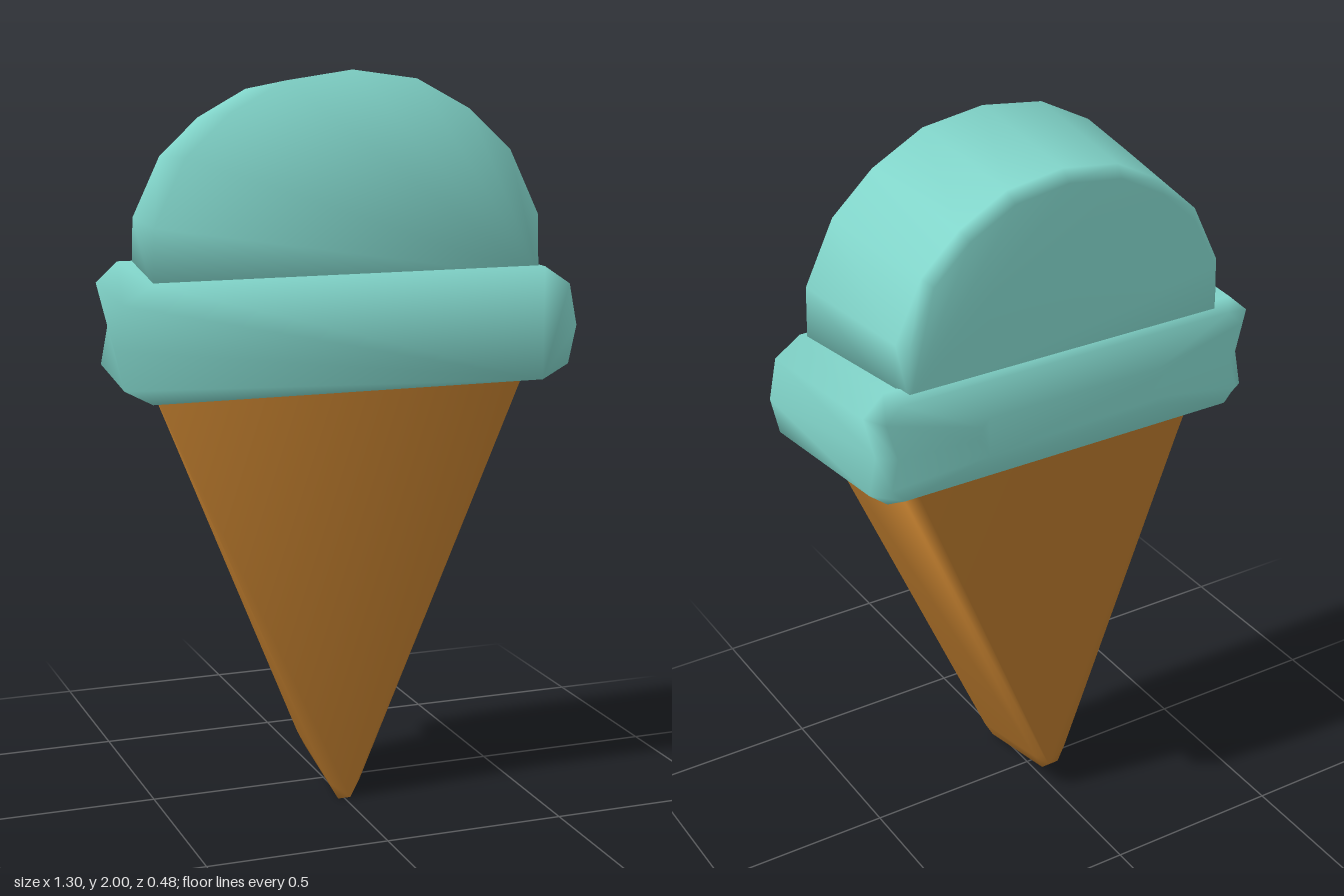
import * as THREE from 'three';

// Mirrors a right-hand half outline (bottom to top) into a closed loop.
function mirrorOutline(half) {
  const left = half.filter(([x]) => x > 0).reverse().map(([x, y]) => [-x, y]);
  return [...half, ...left];
}

// Joins loops running from front to back, with a cap on both ends and shared smooth normals.
function loft(name, rings, color) {
  const n = rings[0].length;
  const index = [];
  for (let r = 0; r < rings.length - 1; r++) {
    for (let j = 0; j < n; j++) {
      const k = (j + 1) % n;
      const a = r * n + j, b = r * n + k, c = a + n, d = b + n;
      index.push(a, c, b, b, c, d);
    }
  }
  const last = (rings.length - 1) * n;
  for (let j = 1; j < n - 1; j++) {
    index.push(0, j, j + 1);
    index.push(last, last + j + 1, last + j);
  }
  const geometry = new THREE.BufferGeometry();
  geometry.setAttribute('position', new THREE.Float32BufferAttribute(rings.flat(2), 3));
  geometry.setIndex(index);
  geometry.computeVertexNormals();
  const mesh = new THREE.Mesh(geometry, new THREE.MeshStandardMaterial({ color }));
  mesh.name = name;
  return mesh;
}

// Copies an outline to depth z, scaled about the height y0.
const ringAt = (outline, z, sx, sy, y0) =>
  outline.map(([x, y]) => [x * sx, y0 + (y - y0) * sy, z]);

export function createModel() {
  const group = new THREE.Group();
  group.name = 'iceCreamCone';
  const mint = 0x82d6cb;
  const wafer = 0xb2742a;

  // Wafer cone: a wedge with a blunt tip, its top hidden inside the collar
  const cone = mirrorOutline([[0.018, 0], [0.045, 0.05], [0.555, 1.24]]);
  group.add(loft('cone', [
    ringAt(cone, 0.17, 1, 1, 1.24),
    ringAt(cone, -0.11, 0.9, 0.952, 1.24),
    ringAt(cone, -0.145, 0.83, 0.925, 1.24),
  ], wafer));

  // Collar: a rolled band whose back corners pinch in at mid height
  const collarRings = [
    [0.24, [[0.55, 1.16], [0.625, 1.2], [0.648, 1.305], [0.625, 1.42], [0.55, 1.47]]],
    [-0.18, [[0.53, 1.16], [0.58, 1.2], [0.56, 1.305], [0.59, 1.425], [0.53, 1.48]]],
    [-0.22, [[0.5, 1.18], [0.535, 1.22], [0.515, 1.305], [0.545, 1.41], [0.5, 1.455]]],
    [-0.24, [[0.26, 1.25], [0.28, 1.27], [0.29, 1.305], [0.28, 1.34], [0.26, 1.36]]],
  ];
  group.add(loft('collar',
    collarRings.map(([z, half]) => ringAt(mirrorOutline(half), z, 1, 1, 0)), mint));

  // Scoop: a faceted dome tapering to a bevelled back
  const dome = mirrorOutline([
    [0.54, 1.44], [0.535, 1.61], [0.45, 1.785], [0.33, 1.895], [0.18, 1.975], [0, 2],
  ]);
  group.add(loft('scoop', [
    ringAt(dome, 0.22, 1, 1, 1.44),
    ringAt(dome, -0.17, 0.91, 0.929, 1.44),
    ringAt(dome, -0.2, 0.865, 0.875, 1.44),
  ], mint));

  return group;
}
